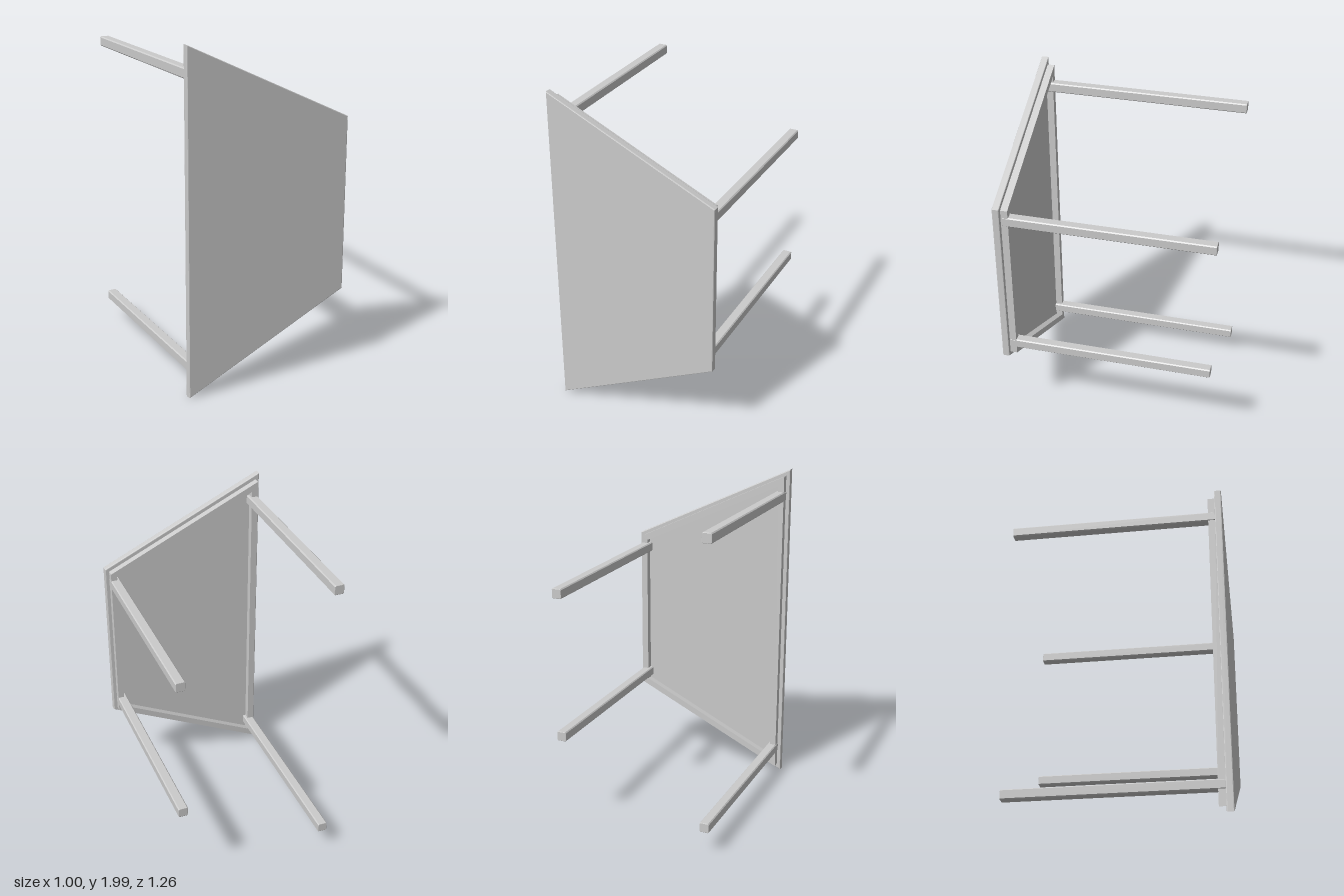
import * as THREE from 'three';

const material = new THREE.MeshStandardMaterial({ color: 0xcccccc, flatShading: true });

// Corners of the trapezoid, moved inward by d on every side
function trapezoid(d) {
  const slope = 0.475, drop = d * Math.hypot(1, slope);
  const top = x => 2 - slope * (x + 0.5) - drop;
  const bottom = x => 0.008 + 0.48 * (x + 0.5) + drop;
  const l = -0.5 + d, r = 0.5 - d;
  return [[l, bottom(l)], [r, bottom(r)], [r, top(r)], [l, top(l)]]
    .map(([x, y]) => new THREE.Vector2(x, y));
}

// Extrude an outline from z0 to z1 with a small edge bevel that stays inside it
function slab(name, shape, z0, z1, bevel) {
  const geometry = new THREE.ExtrudeGeometry(shape, {
    depth: z1 - z0 - 2 * bevel, bevelEnabled: bevel > 0, bevelThickness: bevel,
    bevelSize: bevel, bevelOffset: -bevel, bevelSegments: 2,
  });
  geometry.translate(0, 0, z0 + bevel);
  const mesh = new THREE.Mesh(geometry, material);
  mesh.name = name;
  return mesh;
}

// Square leg section with chamfered corners
function legShape(cx, cy) {
  const w = 0.029, c = 0.006;
  const points = [];
  for (const [sx, sy] of [[1, 1], [-1, 1], [-1, -1], [1, -1]]) {
    const a = new THREE.Vector2(cx + sx * w, cy + sy * (w - c));
    const b = new THREE.Vector2(cx + sx * (w - c), cy + sy * w);
    points.push(...(sx * sy > 0 ? [a, b] : [b, a]));
  }
  return new THREE.Shape(points);
}

export function createModel() {
  const group = new THREE.Group();
  group.name = 'trapezoidTable';

  // Table top, facing forward
  group.add(slab('tableTop', new THREE.Shape(trapezoid(0)), 0.588, 0.63, 0.005));

  // Apron frame under the top
  const apron = new THREE.Shape(trapezoid(0.024));
  apron.holes.push(new THREE.Path(trapezoid(0.062).reverse()));
  group.add(slab('apron', apron, 0.547, 0.592, 0));

  // Four legs reaching back from the corners
  const legs = [[-0.45, 1.838], [-0.45, 0.17], [0.448, 1.436], [0.448, 0.572]];
  for (const [x, y] of legs) {
    group.add(slab('leg', legShape(x, y), -0.63, 0.592, 0.003));
  }
  return group;
}
